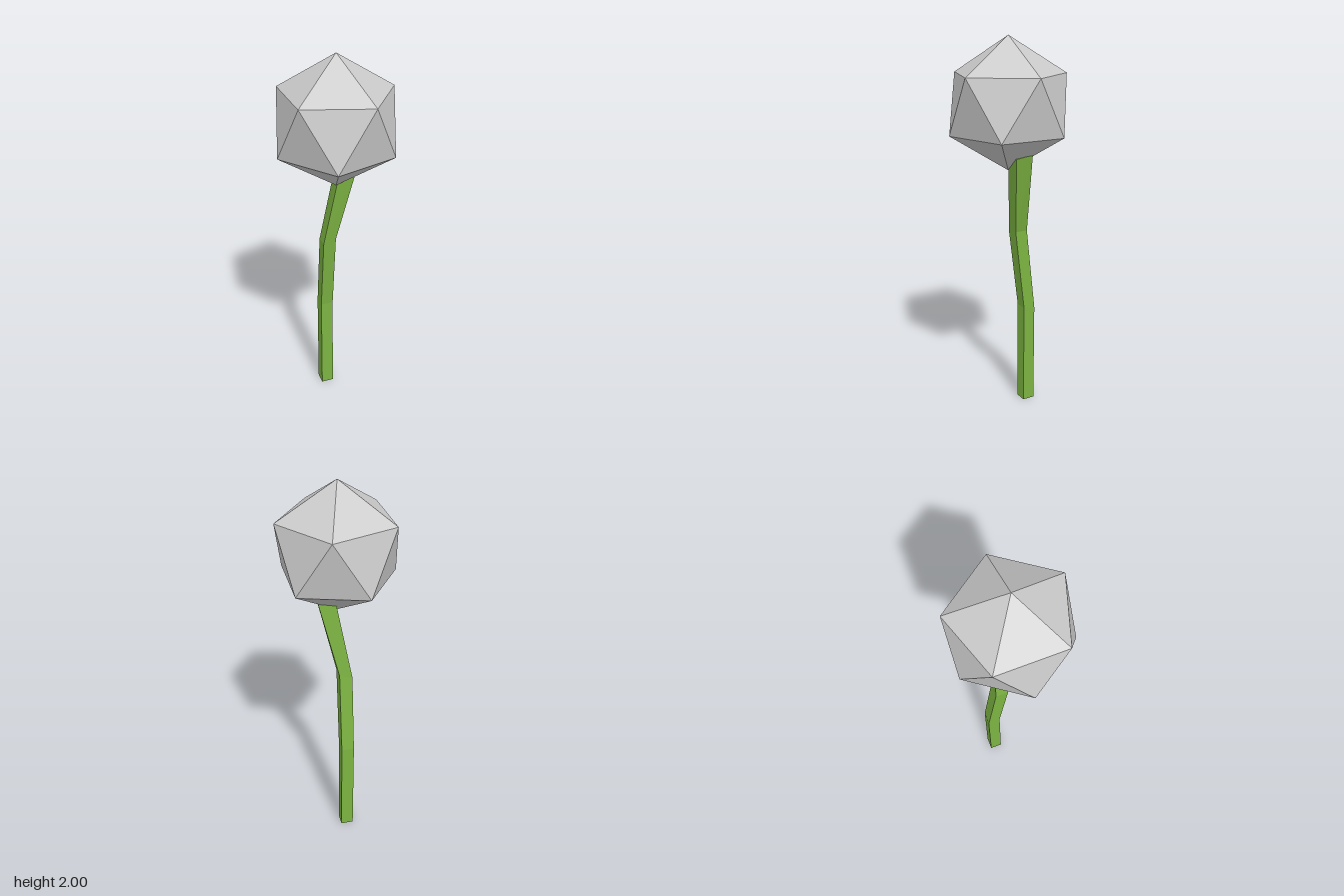
import * as THREE from 'three';

// Square stem lofted through rings of four corners
function stemGeometry(rings) {
  const positions = rings.flat(2);
  const index = [0, 1, 2, 0, 2, 3];
  for (let r = 0; r < rings.length - 1; r++) {
    for (let i = 0; i < 4; i++) {
      const a = r * 4 + i, b = r * 4 + (i + 1) % 4;
      index.push(a, a + 4, b, b, a + 4, b + 4);
    }
  }
  const t = (rings.length - 1) * 4;
  index.push(t, t + 2, t + 1, t, t + 3, t + 2);
  const geometry = new THREE.BufferGeometry();
  geometry.setAttribute('position', new THREE.Float32BufferAttribute(positions, 3));
  geometry.setIndex(index);
  const flat = geometry.toNonIndexed();
  flat.computeVertexNormals();
  return flat;
}

// Corners in order: back left-hand, back right-hand, front right-hand, front left-hand
const ring = (x0, x1, zBack, zFront, y) => [
  [x0, y[0], zBack], [x1, y[1], zBack], [x1, y[2], zFront], [x0, y[3], zFront],
];

// Head: an icosahedron standing on one vertex
function headGeometry(radius) {
  const geometry = new THREE.IcosahedronGeometry(radius, 0);
  const p = geometry.attributes.position;
  // Turn one vertex to the top and a neighbouring one towards +x
  const up = new THREE.Vector3().fromBufferAttribute(p, 0).normalize();
  const side = new THREE.Vector3().fromBufferAttribute(p, 1);
  side.addScaledVector(up, -side.dot(up)).normalize();
  const front = new THREE.Vector3().crossVectors(side, up);
  geometry.applyMatrix4(new THREE.Matrix4().makeBasis(side, up, front).transpose());
  return geometry;
}

export function createModel() {
  const group = new THREE.Group();

  const head = new THREE.Mesh(
    headGeometry(1 / 3),
    new THREE.MeshStandardMaterial({ color: 0xcccccc, flatShading: true }),
  );
  head.name = 'head';
  head.position.y = 5 / 3;
  group.add(head);

  // Stem rises straight, leans forward, then leans sideways into the head
  const stem = new THREE.Mesh(
    stemGeometry([
      ring(-0.054, 0.013, -0.158, -0.092, [0, 0, 0, 0]),
      ring(-0.054, 0.013, -0.158, -0.092, [0.55, 0.55, 0.56, 0.56]),
      ring(-0.055, 0.013, -0.106, -0.038, [0.98, 1.0, 1.0, 0.98]),
      [[0.03, 1.44, -0.075], [0.115, 1.424, -0.075], [0.105, 1.408, 0.013], [0.02, 1.43, 0.013]],
    ]),
    new THREE.MeshStandardMaterial({ color: 0x7cb342, flatShading: true }),
  );
  stem.name = 'stem';
  group.add(stem);

  return group;
}
